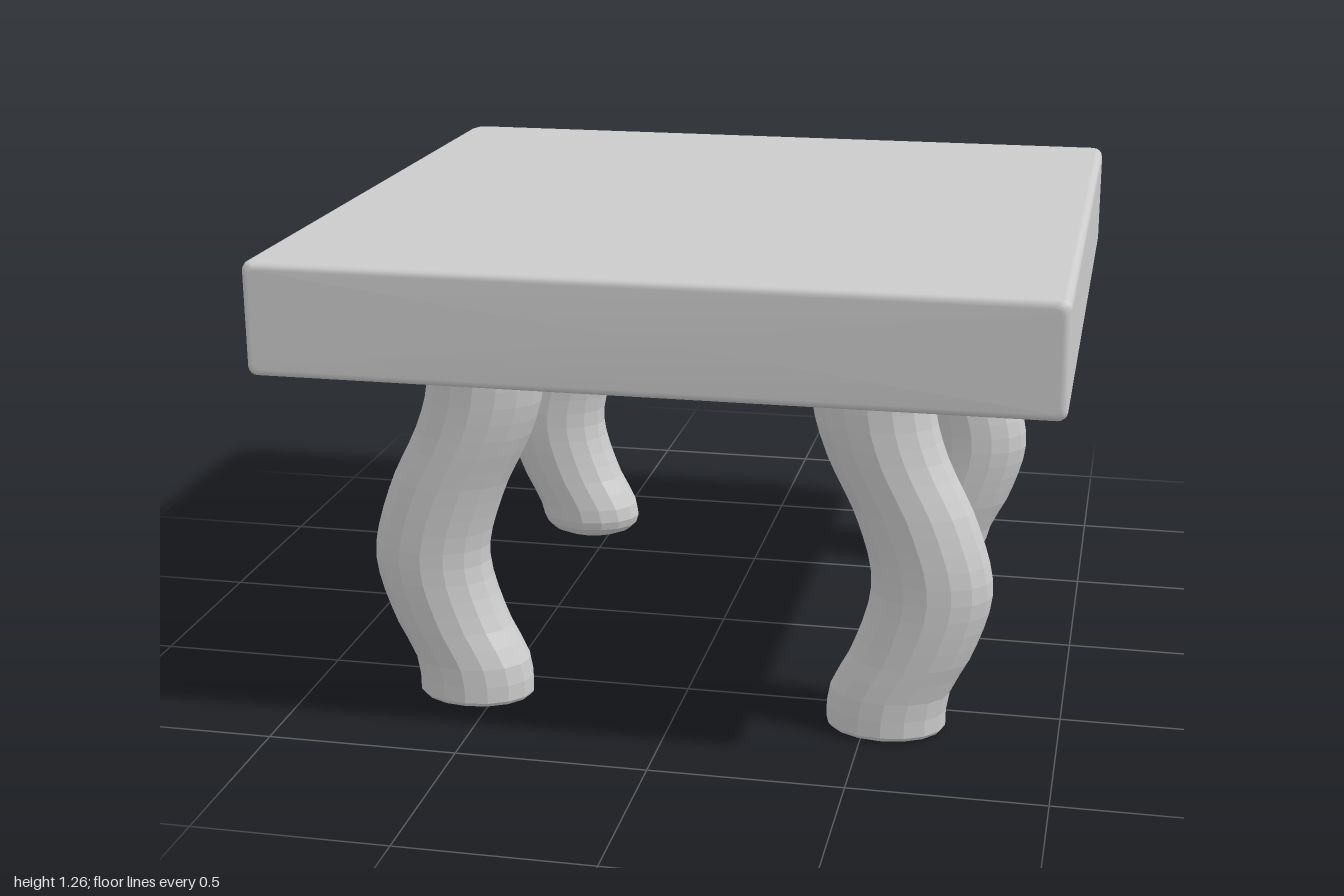
import * as THREE from 'three';

const material = new THREE.MeshStandardMaterial({ color: 0xcccccc });
const flatMaterial = new THREE.MeshStandardMaterial({ color: 0xcccccc, flatShading: true });

// Closed skin over rings of equal point count, each counter-clockwise about the direction of travel
function loft(rings) {
  const n = rings[0].length;
  const points = rings.flat();
  const index = [];
  for (let r = 0; r < rings.length - 1; r++) {
    for (let i = 0; i < n; i++) {
      const j = (i + 1) % n;
      const a = r * n + i, b = r * n + j, c = b + n, d = a + n;
      index.push(a, b, c, a, c, d);
    }
  }
  // End caps fan out from the centre of the first and last ring
  const centre = ring => ring.reduce((sum, p) => sum.add(p), new THREE.Vector3()).divideScalar(n);
  const first = points.push(centre(rings[0])) - 1;
  const last = points.push(centre(rings[rings.length - 1])) - 1;
  const top = (rings.length - 1) * n;
  for (let i = 0; i < n; i++) {
    const j = (i + 1) % n;
    index.push(first, j, i, last, top + i, top + j);
  }
  const geometry = new THREE.BufferGeometry().setFromPoints(points);
  geometry.setIndex(index);
  geometry.computeVertexNormals();
  return geometry;
}

// Rounded rectangle across the slab at depth z, shrunk by an inset
function slabRing(z, inset, radius) {
  const halfW = 1 - inset, halfH = 0.145 - inset, ring = [];
  const corners = [[1, 1], [-1, 1], [-1, -1], [1, -1]];
  corners.forEach(([sx, sy], k) => {
    for (let s = 0; s <= 4; s++) {
      const a = (k + s / 4) * Math.PI / 2;
      ring.push(new THREE.Vector3(
        sx * (halfW - radius) + radius * Math.cos(a),
        1.115 + sy * (halfH - radius) + radius * Math.sin(a), z));
    }
  });
  return ring;
}

// Softer rounding at the back edge than at the front
function makeTop() {
  const sections = [
    [-1, 0.05], [-0.998, 0.04], [-0.99, 0.027], [-0.975, 0.016], [-0.95, 0.009], [-0.91, 0.003],
    [-0.86, 0], [0.975, 0], [0.987, 0.002], [0.996, 0.008], [1, 0.02],
  ];
  return loft(sections.map(([z, inset]) => slabRing(z, inset, 0.022)));
}

// Sideways sway of a leg's centre line over its height
const sway = new THREE.CatmullRomCurve3([
  [0.553, 0], [0.56, 0.1], [0.622, 0.23], [0.665, 0.4], [0.62, 0.58],
  [0.54, 0.75], [0.508, 0.86], [0.502, 0.985],
].map(([x, y]) => new THREE.Vector3(x, y, 0)));

function swayAt(y) {
  let low = 0, high = 1;
  for (let i = 0; i < 24; i++) {
    const mid = (low + high) / 2;
    if (sway.getPoint(mid).y < y) low = mid; else high = mid;
  }
  return sway.getPoint(low).x;
}

// Oval leg: [height, section scale] for the foot and the flare under the slab
function makeLeg(side, z, foot) {
  const rows = [...foot];
  for (let y = 0.16; y < 0.91; y += 0.045) rows.push([y, 1]);
  rows.push([0.935, 1], [0.955, 1.03], [0.966, 1.12], [0.972, 1.25]);
  const sides = 16;
  return loft(rows.map(([y, scale]) => {
    const x = side * swayAt(y);
    return Array.from({ length: sides }, (_, i) => {
      const a = (i / sides) * Math.PI * 2;
      return new THREE.Vector3(
        x + 0.156 * scale * Math.cos(a), y, z - 0.116 * scale * Math.sin(a));
    });
  }));
}

export function createModel() {
  const group = new THREE.Group();
  group.name = 'table';
  const add = (name, geometry, mat) => {
    const mesh = new THREE.Mesh(geometry, mat);
    mesh.name = name;
    group.add(mesh);
  };

  add('tableTop', makeTop(), material);

  // Front feet are cut flat, back feet are rounded
  const flatFoot = [[0, 0.8], [0.006, 0.95], [0.016, 1], [0.06, 1], [0.11, 1]];
  const roundFoot = [[0.012, 0.35], [0.018, 0.6], [0.03, 0.8], [0.05, 0.93], [0.075, 0.99], [0.115, 1]];
  for (const [side, label] of [[1, 'Left'], [-1, 'Right']]) {
    add(`front${label}Leg`, makeLeg(side, 0.625, flatFoot), flatMaterial);
    add(`back${label}Leg`, makeLeg(side, -0.623, roundFoot), flatMaterial);
  }
  return group;
}
